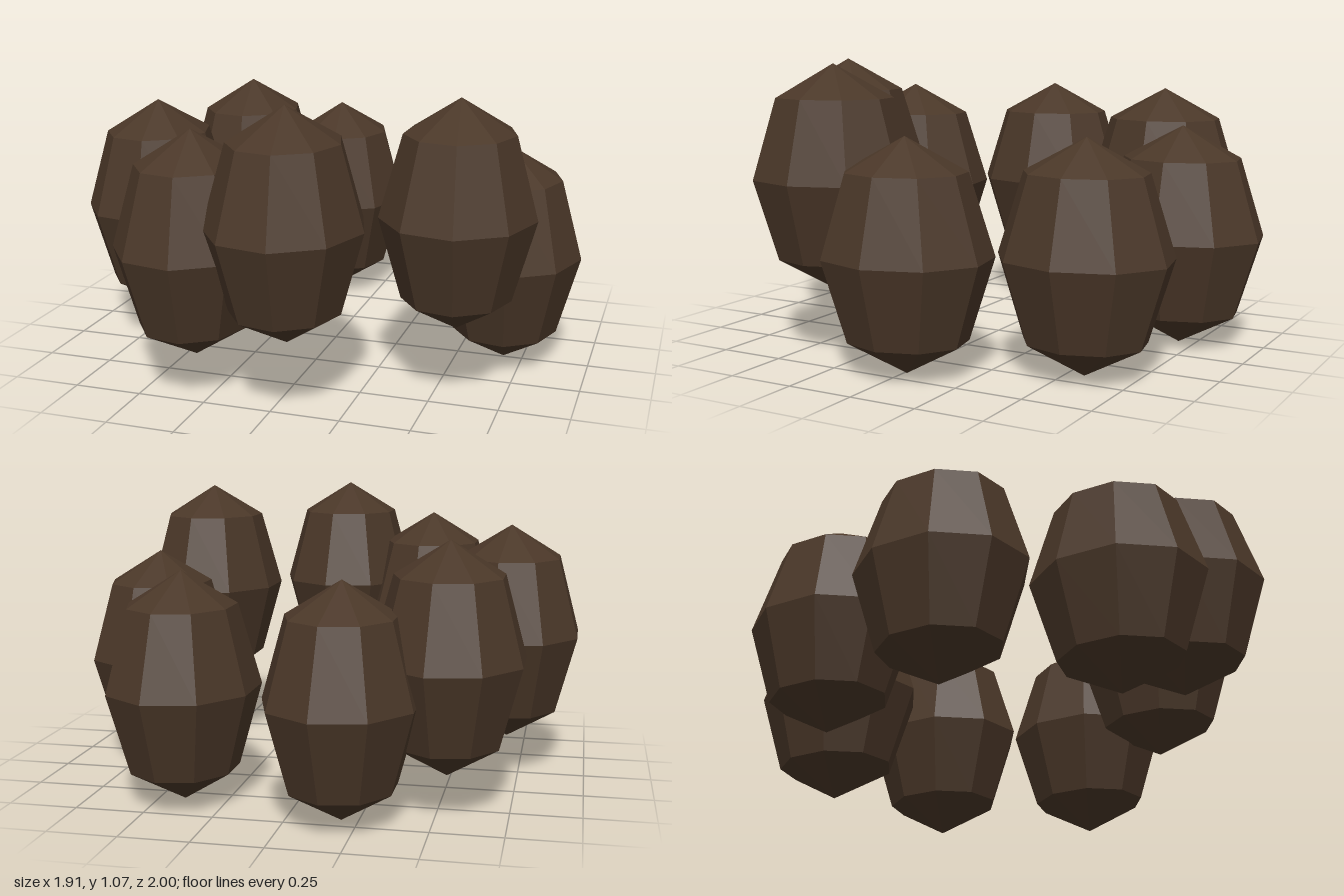
import * as THREE from 'three';

export function createModel() {
  const model = new THREE.Group();
  model.name = 'podRing';

  const brown = new THREE.MeshStandardMaterial({ color: 0x4a3728, flatShading: true });
  brown.name = 'darkBrown';

  // Nine-sided faceted pod, with one corner pointing to +x
  const podShape = new THREE.SphereGeometry(1, 9, 4, Math.PI);
  podShape.scale(0.277, 0.415, 0.32);

  // Three height levels of the pod centres
  const low = 0.415, mid = 0.533, high = 0.651;

  // Pods around the ring: x, y, z
  const centres = [
    [-0.19, low, -0.685],
    [-0.527, mid, -0.48],
    [-0.698, mid, 0.103],
    [-0.338, mid, 0.6],
    [0.04, high, 0.682],
    [0.565, high, 0.368],
    [0.677, low, -0.01],
    [0.407, low, -0.565],
  ];
  centres.forEach(([x, y, z], i) => {
    const pod = new THREE.Mesh(podShape, brown);
    pod.name = `pod${i + 1}`;
    pod.position.set(x, y, z);
    model.add(pod);
  });

  return model;
}
